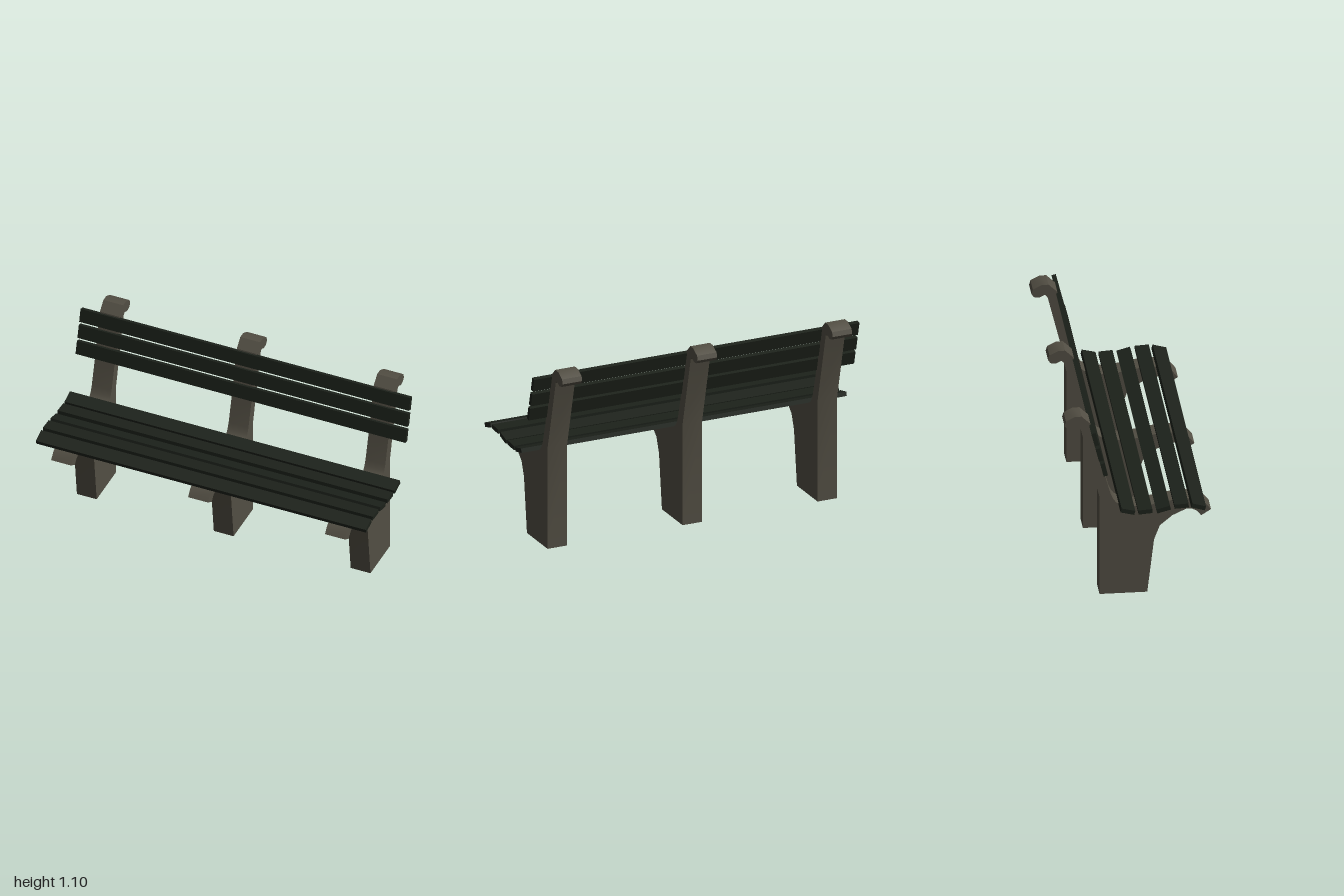
import * as THREE from 'three';
import { toCreasedNormals } from 'three/addons/utils/BufferGeometryUtils.js';

const SUPPORT_WIDTH = 0.12;

// Side outline of a support as [z, y], from the front foot round to the rear foot
const OUTLINE = [
  [0.053, 0], [0.091, 0.322], [0.123, 0.407], [0.193, 0.466], [0.272, 0.503],
  [0.305, 0.5], [0.331, 0.486], [0.354, 0.457], [0.409, 0.492], [0.378, 0.53],
  [0.34, 0.552], [0.275, 0.566], [0.193, 0.56], [0.076, 0.539], [-0.012, 0.533],
  [-0.076, 0.543], [-0.12, 0.562], [-0.138, 0.586], [-0.152, 0.618], [-0.202, 0.8],
  [-0.264, 1.057], [-0.313, 1.104], [-0.351, 1.104], [-0.401, 1.078], [-0.409, 1.051],
  [-0.395, 1.031], [-0.366, 1.026], [-0.334, 1.042], [-0.319, 1.028],
  [-0.214, 0.603], [-0.214, 0],
];

// Slat centres and tilts: [z, y, degrees about x]
const SEAT_SLATS = [
  [0.328, 0.564, 16], [0.233, 0.574, -3], [0.132, 0.558, -15],
  [0.031, 0.55, -4], [-0.067, 0.556, 14],
];
const BACK_SLATS = [[-0.25, 1.012, -14], [-0.226, 0.916, -14], [-0.2, 0.822, -14]];

// Extruded support, hollow and open underneath
function supportGeometry() {
  const shape = new THREE.Shape(OUTLINE.map(([z, y]) => new THREE.Vector2(z, y)));
  const solid = new THREE.ExtrudeGeometry(shape, { depth: SUPPORT_WIDTH, bevelEnabled: false });
  solid.translate(0, 0, -SUPPORT_WIDTH / 2).rotateY(-Math.PI / 2);

  // Drop the triangles lying on the ground
  const p = solid.getAttribute('position');
  const kept = [];
  for (let i = 0; i < p.count; i += 3) {
    if (Math.max(p.getY(i), p.getY(i + 1), p.getY(i + 2)) < 1e-4) continue;
    for (let j = i; j < i + 3; j++) kept.push(p.getX(j), p.getY(j), p.getZ(j));
  }
  const open = new THREE.BufferGeometry();
  open.setAttribute('position', new THREE.Float32BufferAttribute(kept, 3));
  return toCreasedNormals(open, THREE.MathUtils.degToRad(32));
}

function addSlats(parent, name, geometry, material, places) {
  const slats = new THREE.Group();
  slats.name = name + 's';
  places.forEach(([z, y, tilt], i) => {
    const slat = new THREE.Mesh(geometry, material);
    slat.name = name + (i + 1);
    slat.position.set(0, y, z);
    slat.rotation.x = THREE.MathUtils.degToRad(tilt);
    slats.add(slat);
  });
  parent.add(slats);
}

export function createModel() {
  const bench = new THREE.Group();
  bench.name = 'bench';

  const stone = new THREE.MeshStandardMaterial({ color: 0x524e43, side: THREE.DoubleSide });
  const wood = new THREE.MeshStandardMaterial({ color: 0x1c211a });

  // Three matching supports
  const support = supportGeometry();
  [['rightSupport', -0.83], ['middleSupport', 0], ['leftSupport', 0.83]].forEach(([name, x]) => {
    const mesh = new THREE.Mesh(support, stone);
    mesh.name = name;
    mesh.position.x = x;
    bench.add(mesh);
  });

  // Seat and backrest planks
  addSlats(bench, 'seatSlat', new THREE.BoxGeometry(2, 0.025, 0.079), wood, SEAT_SLATS);
  addSlats(bench, 'backSlat', new THREE.BoxGeometry(2, 0.079, 0.025), wood, BACK_SLATS);

  return bench;
}
